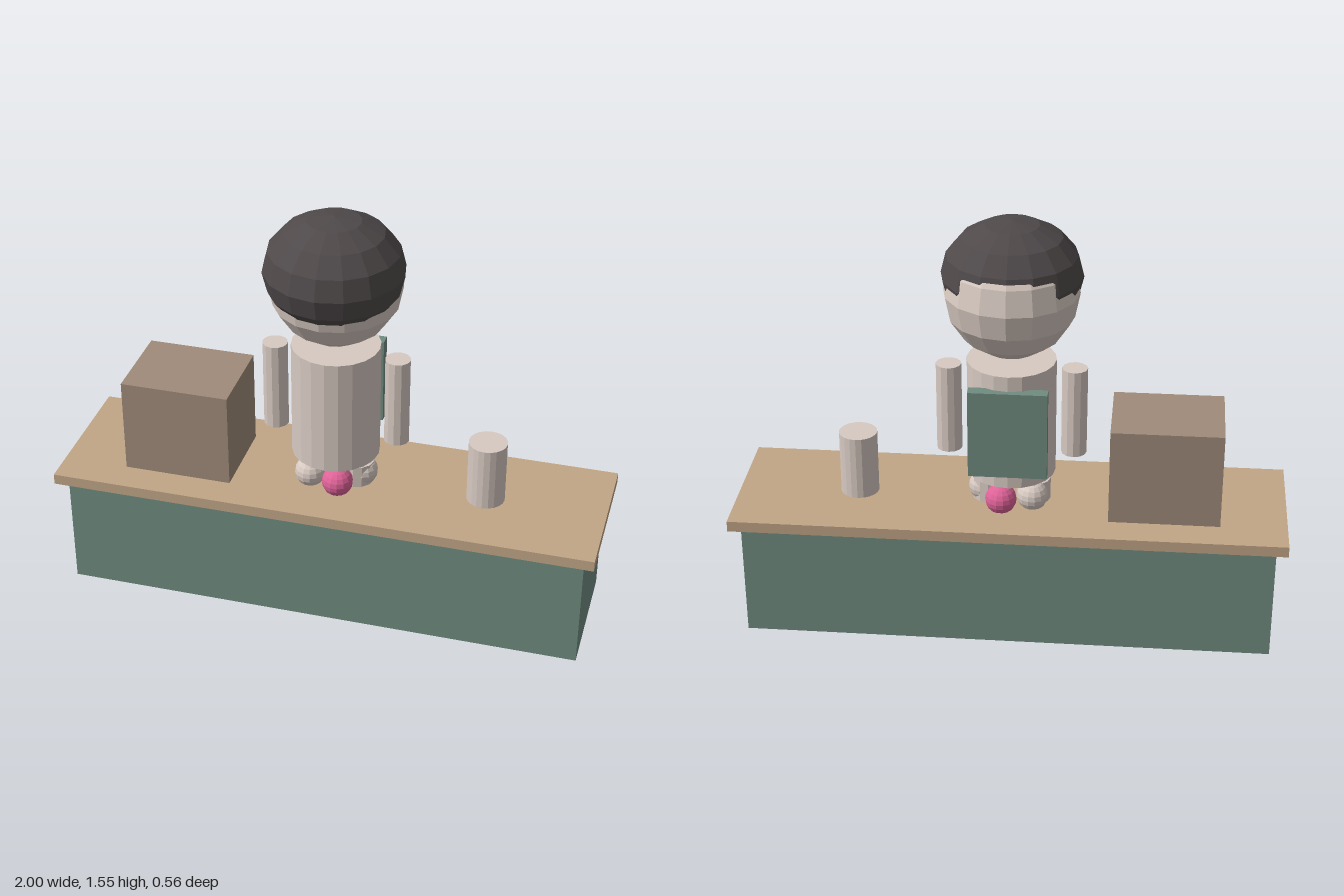
import * as THREE from 'three';

const flat = (name, color) => {
  const m = new THREE.MeshStandardMaterial({ color, flatShading: true });
  m.name = name;
  return m;
};

export function createModel() {
  const group = new THREE.Group();
  const cream = flat('cream', 0xd8cac2);
  const dark = flat('charcoal', 0x4f494a);
  const green = flat('sage green', 0x708c80);
  const wood = flat('light wood', 0xc2a687);
  const brown = flat('brown', 0x9f8b7a);
  const pink = flat('pink', 0xdf6398);

  const add = (name, geometry, material, x, y, z) => {
    const mesh = new THREE.Mesh(geometry, material);
    mesh.name = name;
    mesh.position.set(x, y, z);
    group.add(mesh);
    return mesh;
  };
  // Boxes and cylinders are placed by their bottom and top heights
  const box = (name, mat, w, d, y0, y1, x = 0, z = 0) =>
    add(name, new THREE.BoxGeometry(w, y1 - y0, d), mat, x, (y0 + y1) / 2, z);
  const cylinder = (name, mat, r, y0, y1, x = 0, sides = 20) =>
    add(name, new THREE.CylinderGeometry(r, r, y1 - y0, sides), mat, x, (y0 + y1) / 2, 0);

  // Counter
  box('counterBase', green, 1.92, 0.48, 0, 0.44);
  box('counterTop', wood, 2, 0.56, 0.44, 0.48);

  // Things on the counter
  box('crate', brown, 0.4, 0.32, 0.48, 0.84, -0.56);
  cylinder('cup', cream, 0.07, 0.48, 0.72, 0.56);

  // Figure: body, arms and legs
  cylinder('body', cream, 0.16, 0.6, 1.04);
  for (const side of [-1, 1]) {
    cylinder(side > 0 ? 'leftArm' : 'rightArm', cream, 0.046, 0.675, 1.01, side * 0.225, 12);
    cylinder(side > 0 ? 'leftLeg' : 'rightLeg', cream, 0.063, 0.002, 0.563, side * 0.08, 12);
  }

  // Head with a flattened cap of hair set slightly forward
  add('head', new THREE.SphereGeometry(0.24, 16, 8), cream, 0, 1.3, 0);
  add('hair', new THREE.SphereGeometry(0.25, 16, 8), dark, 0, 1.35, 0.025).scale.y = 0.8;

  // Backpack
  box('backpack', green, 0.28, 0.045, 0.655, 0.985, 0, -0.158);

  // Ring of balls around the feet
  for (let i = 0; i < 5; i++) {
    const a = (i / 5) * Math.PI * 2;
    add('ball' + (i + 1), new THREE.SphereGeometry(0.057, 14, 10), i % 3 === 1 ? pink : cream,
      Math.cos(a) * 0.1, 0.52, Math.sin(a) * 0.1);
  }
  return group;
}
